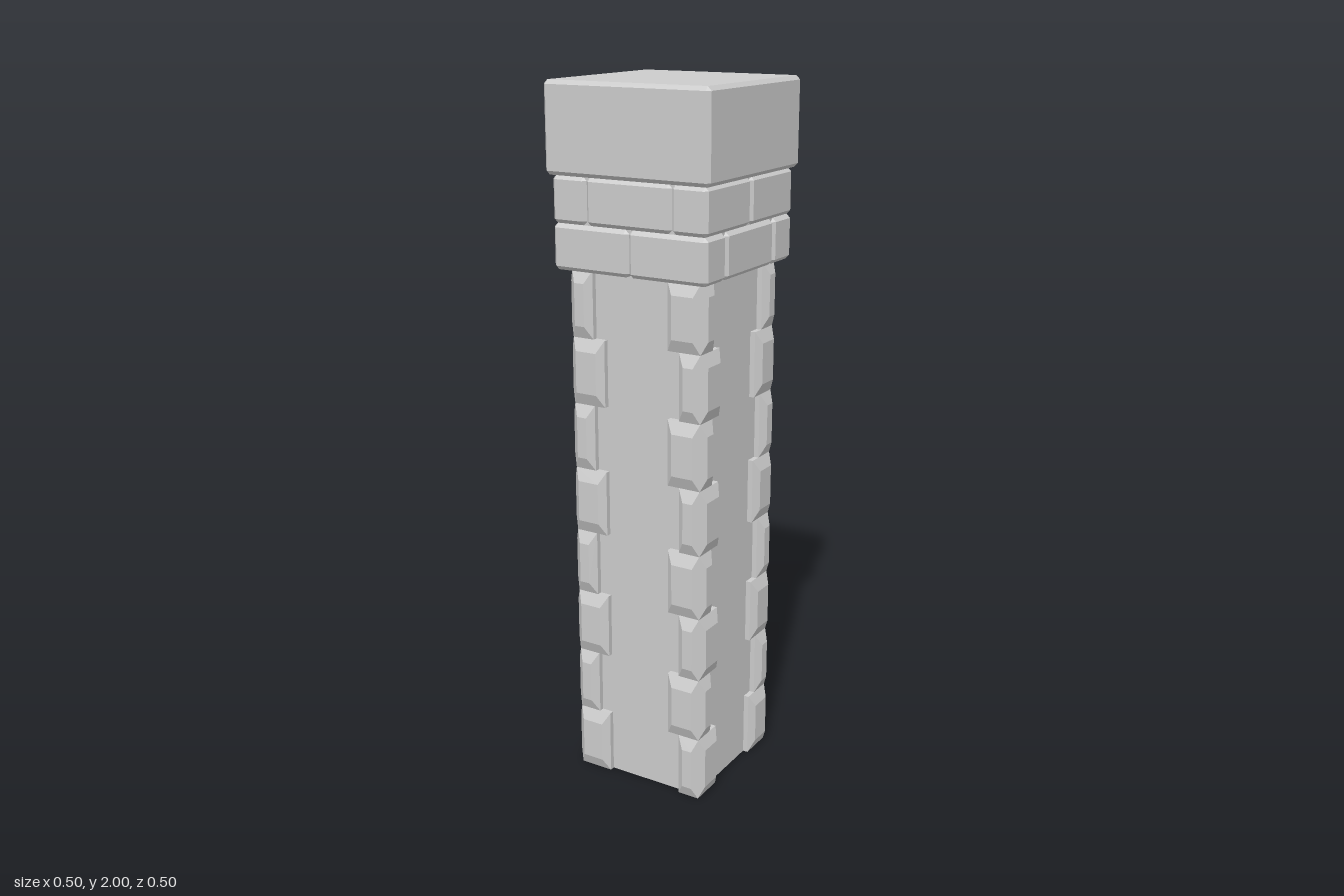
import * as THREE from 'three';
import { ConvexGeometry } from 'three/addons/geometries/ConvexGeometry.js';

const material = new THREE.MeshStandardMaterial({ color: 0xcccccc, flatShading: true });

function addHull(parent, name, coords) {
  const points = coords.map(([x, y, z]) => new THREE.Vector3(x, y, z));
  const mesh = new THREE.Mesh(new ConvexGeometry(points), material);
  mesh.name = name;
  parent.add(mesh);
}

// Block between two corners, with every edge chamfered by c
function addBlock(parent, name, min, max, c) {
  const coords = [];
  for (let i = 0; i < 8; i++) {
    const sign = [i & 1 ? 1 : -1, i & 2 ? 1 : -1, i & 4 ? 1 : -1];
    for (let axis = 0; axis < 3; axis++) {
      coords.push(sign.map((s, k) => (s > 0 ? max[k] : min[k]) - (k === axis ? 0 : s * c)));
    }
  }
  addHull(parent, name, coords);
}

// Corner stone with a raised, bevelled panel on both outer faces
function addCornerStone(parent, sx, sz, y0, y1, innerX, innerZ) {
  const base = 0.2, outer = 0.215, panelEnd = 0.185, inset = 0.035, bevel = 0.02;
  const coords = [];
  for (const y of [y0, y1]) {
    for (const x of [innerX, base]) for (const z of [innerZ, base]) coords.push([sx * x, y, sz * z]);
  }
  for (const y of [y0 + inset, y1 - inset]) {
    for (const x of [innerX + bevel, panelEnd]) coords.push([sx * x, y, sz * outer]);
    for (const z of [innerZ + bevel, panelEnd]) coords.push([sx * outer, y, sz * z]);
  }
  addHull(parent, 'cornerStone', coords);
}

// Course of six bricks; turned swaps the long and the short sides
function addCourse(parent, name, y0, y1, turned) {
  const course = new THREE.Group();
  course.name = name;
  const half = 0.236, joint = 0.13, c = 0.011;
  for (const s of [-1, 1]) {
    const near = s > 0 ? joint : -half, far = s > 0 ? half : -joint;
    addBlock(course, 'cornerBrick', [-half, y0, near], [0, y1, far], c);
    addBlock(course, 'cornerBrick', [0, y0, near], [half, y1, far], c);
    addBlock(course, 'middleBrick', [near, y0, -joint], [far, y1, joint], c);
  }
  if (turned) course.rotation.y = Math.PI / 2;
  parent.add(course);
}

export function createModel() {
  const pillar = new THREE.Group();
  pillar.name = 'stonePillar';

  // Plain square shaft and the core behind the brick courses
  const shaft = new THREE.Mesh(new THREE.BoxGeometry(0.37, 1.52, 0.37), material);
  shaft.name = 'shaft';
  shaft.position.y = 0.76;
  const core = new THREE.Mesh(new THREE.BoxGeometry(0.45, 0.246, 0.45), material);
  core.name = 'courseCore';
  core.position.y = 1.639;
  pillar.add(shaft, core);

  // Alternating long and short stones up each corner
  const rows = 8, rowHeight = 1.505 / rows, long = 0.1, short = 0.135;
  const corners = new THREE.Group();
  corners.name = 'cornerStones';
  for (const sx of [-1, 1]) for (const sz of [-1, 1]) {
    for (let row = 0; row < rows; row++) {
      const longX = (row % 2 === 0) === (sx < 0);
      addCornerStone(corners, sx, sz, row * rowHeight, (row + 1) * rowHeight,
        longX ? long : short, longX ? short : long);
    }
  }
  pillar.add(corners);

  // Two staggered brick courses and the cap
  addCourse(pillar, 'lowerCourse', 1.505, 1.63, false);
  addCourse(pillar, 'upperCourse', 1.63, 1.757, true);
  addBlock(pillar, 'cap', [-0.249, 1.757, -0.249], [0.249, 2, 0.249], 0.011);

  return pillar;
}
